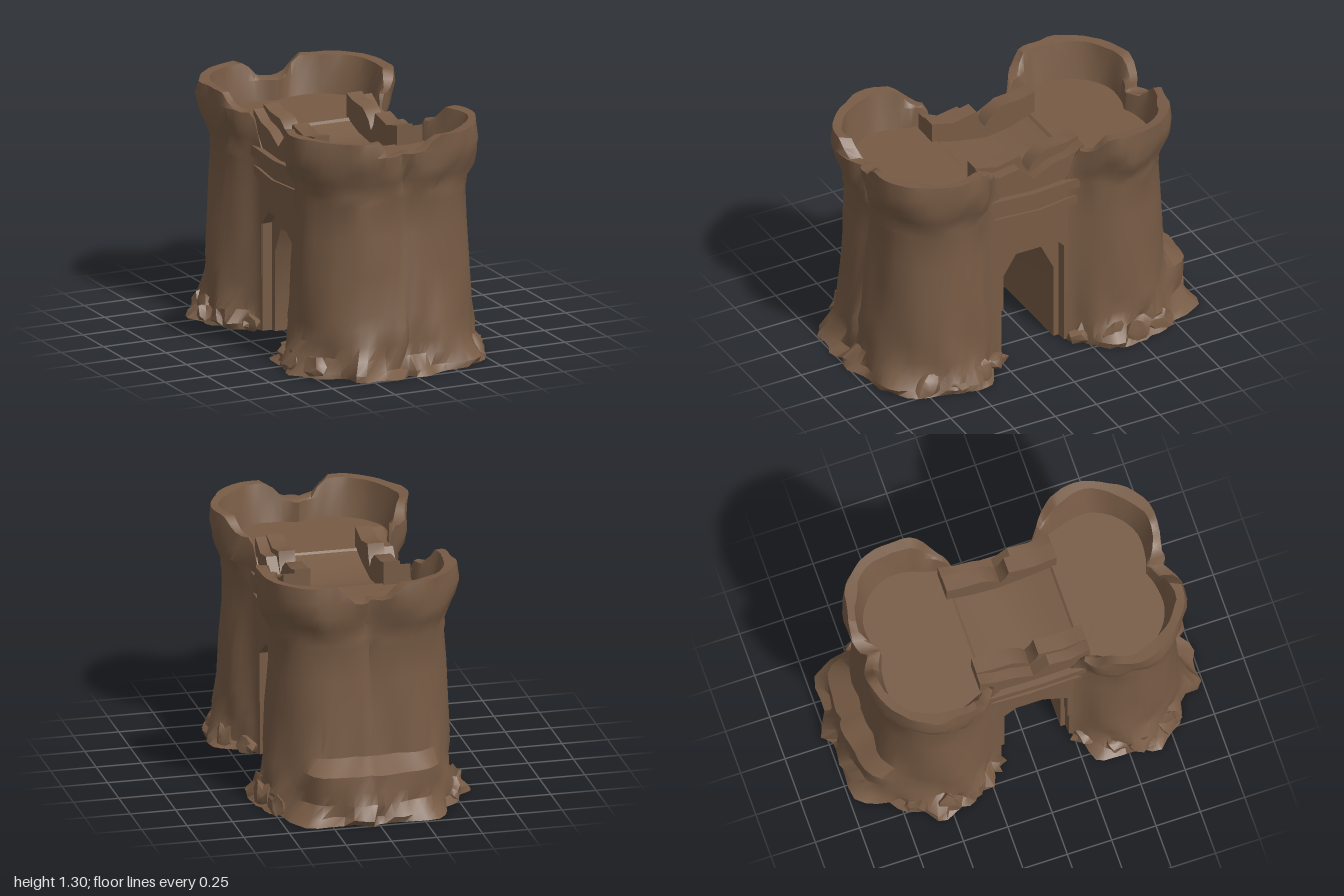
import * as THREE from 'three';
import { toCreasedNormals } from 'three/addons/utils/BufferGeometryUtils.js';

const stone = new THREE.MeshStandardMaterial({ color: 0x775b45, side: THREE.DoubleSide });
stone.name = 'brown stone';

const MID = 0.04; // z of the passage centre
const DECK = 1.09; // height of the tower decks
const hash = (n) => { const s = Math.sin(n * 127.1 + 11.7) * 43758.5453; return s - Math.floor(s) - 0.5; };
const { smoothstep, lerp } = THREE.MathUtils;

function mesh(name, geometry, crease = 0.7) {
  const m = new THREE.Mesh(toCreasedNormals(geometry, crease), stone);
  m.name = name;
  return m;
}

// Two-lobed plan of one tower: outer seam, round flank, straight passage side
function towerOutline() {
  const half = new THREE.SplineCurve([
    [0, 0.79], [0.1, 0.815], [0.25, 0.81], [0.38, 0.73], [0.46, 0.6],
    [0.465, 0.47], [0.43, 0.36], [0.375, 0.26], [0.355, 0.19],
  ].map(([x, d]) => new THREE.Vector2(x, d))).getPoints(28);
  half.push(new THREE.Vector2(0.18, 0.18));
  const left = half.slice(1).reverse().map((p) => new THREE.Vector2(-p.x, p.y));
  return [...half, ...left];
}

// Height, outward offset, roughness and mound share of each ring, from the foot over the parapet to the deck
const RINGS = [
  [0, 0.11, 0.06, 0.8], [0.035, 0.085, 0.06, 0.75], [0.1, 0.055, 0.04, 0.75], [0.17, 0.04, 0.02, 0.85],
  [0.26, 0.034, 0.014, 0.85], [0.33, 0.031, 0.012, 0], [0.55, 0.02, 0.01, 0], [0.75, 0.008, 0.01, 0],
  [0.93, 0.002, 0.006, 0], [0.955, 0.008, 0.004, 0], [0.99, 0.006, 0.004, 0], [1.06, 0.035, 0.025, 0],
  [1.13, 0.062, 0.012, 0], [1.22, 0.07, 0.02, 0], [1.3, 0.062, 0.015, 0], [1.295, 0.008, 0.015, 0],
  [1.2, -0.015, 0.012, 0], [DECK, -0.045, 0, 0],
];

function towerGeometry(seed, mound) {
  const outline = towerOutline(), n = outline.length;
  const pos = [], index = [];
  RINGS.forEach(([y, off, rough, share], r) => outline.forEach((p, i) => {
    const flare = smoothstep(p.y, 0.2, 0.38);
    const dir = new THREE.Vector2(p.x, p.y - 0.5).normalize();
    // the seam pinches in on the parapet and fades out toward the foot
    const seam = (1 - smoothstep(Math.abs(p.x), 0, 0.12)) * smoothstep(p.y, 0.6, 0.7)
      * (y > 1 && r < RINGS.length - 1 ? -0.025 : 0.03 * (1 - smoothstep(y, 0.3, 0.95)));
    const heap = mound * share * smoothstep(p.y, 0.66, 0.8) * (1 - smoothstep(Math.abs(p.x), 0.18, 0.42));
    const lump = rough * (hash(Math.floor(i / 2) + seed * 31 + r * 57) + 0.5 * Math.sin(i * 0.7 + seed + r));
    const o = (off + lump + heap + seam) * flare;
    let top = y, d = p.y + dir.y * o;
    if (r === RINGS.length - 1) {
      d = Math.max(d, 0.3 - 0.1 * Math.abs(p.x)); // deck stops short of the bridge
    } else if (y > 1) { // notches at the seam and beside the bridge, worn elsewhere
      const gap = p.y > 0.6 ? 1 - smoothstep(Math.abs(p.x), 0.06, 0.17) : 0;
      const side = 1 - smoothstep(p.y, 0.3, 0.42);
      const limit = 1.305 - 0.1 * Math.max(gap, side) + 0.015 * hash(Math.floor(i / 3) + seed * 7);
      top = lerp(1.0, Math.min(y, limit), smoothstep(p.y, 0.19, 0.27));
    }
    pos.push(p.x + dir.x * o, top, d);
  }));
  for (let r = 0; r < RINGS.length - 1; r++) {
    for (let i = 0; i < n; i++) {
      const a = r * n + i, b = r * n + (i + 1) % n;
      index.push(a, b, b + n, a, b + n, a + n);
    }
  }
  // underside and deck
  const foot = pos.length / 3, deck = foot + 1, last = (RINGS.length - 1) * n;
  pos.push(0, 0, 0.5, 0, DECK, 0.5);
  for (let i = 0; i < n; i++) {
    const j = (i + 1) % n;
    index.push(foot, j, i, last + i, last + j, deck);
  }
  const g = new THREE.BufferGeometry();
  g.setAttribute('position', new THREE.Float32BufferAttribute(pos, 3));
  g.setIndex(index);
  return g;
}

// Slab from a z-y outline, standing between two x positions
function slab(name, points, x0, x1) {
  const shape = new THREE.Shape(points.map(([z, y]) => new THREE.Vector2(-z, y)));
  const g = new THREE.ExtrudeGeometry(shape, { depth: x1 - x0, bevelEnabled: false });
  g.rotateY(Math.PI / 2).translate(x0, 0, 0);
  return mesh(name, g);
}

// Irregular rock, kept above the ground
function rock(name, x, y, z, sx, sy, sz, seed) {
  const g = new THREE.IcosahedronGeometry(1, 1);
  const p = g.attributes.position, v = new THREE.Vector3();
  for (let i = 0; i < p.count; i++) {
    v.fromBufferAttribute(p, i);
    const k = 1 + 0.6 * hash(Math.round(v.x * 9) + Math.round(v.y * 9) * 3.1 + Math.round(v.z * 9) * 7.7 + seed);
    p.setXYZ(i, x + v.x * sx * k, Math.max(0, y + v.y * sy * k), z + v.z * sz * k);
  }
  return mesh(name, g);
}

export function createModel() {
  const model = new THREE.Group();
  model.name = 'ruinedGatehouse';

  // Front and back towers; the back one has a mound at its foot
  [['frontTower', 0, 1, 0.02], ['backTower', Math.PI, 4, 0.14]].forEach(([name, turn, seed, mound]) => {
    const tower = mesh(name, towerGeometry(seed, mound));
    tower.rotation.y = turn;
    tower.position.z = MID;
    model.add(tower);
  });

  // Bridge core with the pointed passage and a sunken walkway
  model.add(slab('bridgeCore', [
    [0.24, 0], [0.24, 1.0], [0.33, DECK - 0.005], [0.2, 1.05], [0.02, 1.02], [-0.12, 1.04], [-0.25, DECK - 0.005],
    [-0.16, 1.0], [-0.16, 0], [-0.115, 0], [-0.115, 0.44], [-0.04, 0.59], [0.11, 0.59], [0.2, 0.45], [0.2, 0],
  ], -0.3, 0.3));

  const outerArch = [
    [0.3, 0.3], [0.3, 1.0], [-0.22, 1.0], [-0.22, 0.3], [-0.155, 0.3], [-0.155, 0.59],
    [-0.07, 0.68], [0.08, 0.68], [0.22, 0.58], [0.22, 0.3],
  ];
  const parapet = [
    [0.35, 0.98], [0.35, 1.2], [0.3, 1.19], [0.22, 1.17], [0.08, 1.2], [0.06, 1.13],
    [0.03, 1.09], [0, 1.14], [-0.07, 1.19], [-0.2, 1.2], [-0.27, 1.22], [-0.27, 0.98],
  ];
  const ledge = [
    [0.35, 0.98], [0.35, 1.19], [0.24, 1.14], [0.12, 1.16], [0.03, 1.07], [-0.08, 1.13], [-0.18, 1.15], [-0.27, 1.2], [-0.27, 0.98],
  ];
  for (const s of [-1, 1]) {
    const side = s > 0 ? 'left' : 'right';
    const add = (name, pts, near, far) => model.add(
      slab(side + name, pts, Math.min(s * near, s * far), Math.max(s * near, s * far)));
    add('OuterArch', outerArch, 0.3, 0.36);
    add('Parapet', parapet, 0.2, 0.29);
    add('ParapetLedge', ledge, 0.29, 0.35);
    // weathered string courses over the arch
    add('LowerCourse', [[0.3, 0.86], [0.32, 0.9], [0, 0.88], [-0.24, 0.91], [-0.22, 0.86], [0, 0.82]], 0.35, 0.375);
    add('UpperCourse', [[0.35, 0.96], [0.35, 1.02], [0.05, 1.0], [-0.27, 1.02], [-0.27, 0.96], [0.05, 0.95]], 0.33, 0.385);
    // fallen stones along the foot of the wall
    for (let i = 0; i < 8; i++) {
      const back = i % 2 ? -1 : 1, t = Math.floor(i / 2) / 3;
      const x = 0.4 + 0.12 * Math.sin(t * Math.PI * 0.8), d = 0.27 + 0.42 * t;
      model.add(rock(side + 'Rubble' + i, s * x, 0.03, MID + back * d, 0.055, 0.07 + 0.06 * hash(i + s * 5), 0.08, i * 3 + s));
    }
  }
  return model;
}
